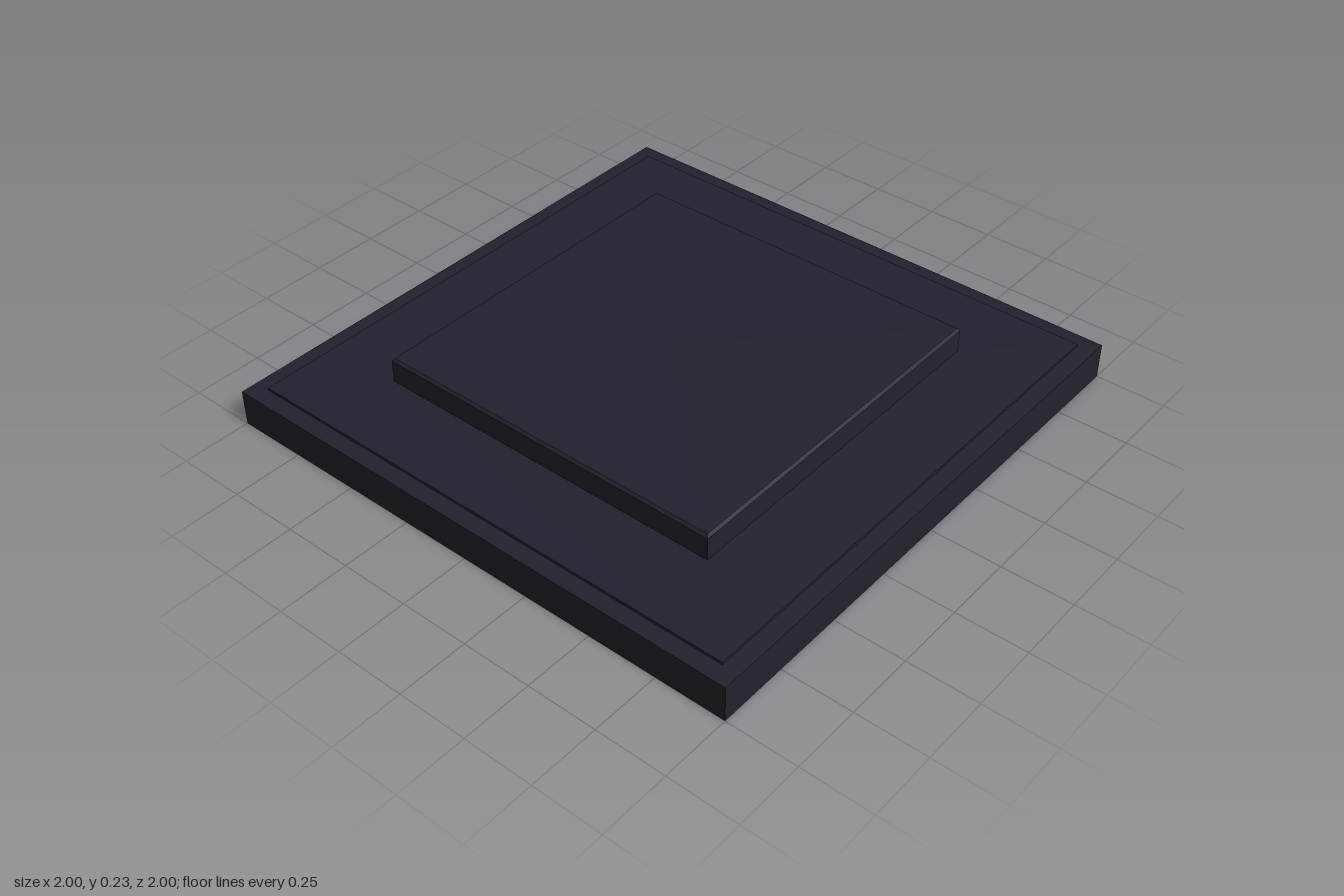
import * as THREE from 'three';

// Square ring or cap swept from a [halfWidth, y] profile running counter-clockwise (out, up, in)
function squareSweep(profile) {
  const pts = profile.map(([h, y]) => new THREE.Vector2(h * Math.SQRT2, y));
  const geo = new THREE.LatheGeometry(pts, 4, Math.PI / 4).toNonIndexed();
  geo.computeVertexNormals();
  return geo;
}

export function createModel() {
  const group = new THREE.Group();
  const charcoal = new THREE.MeshStandardMaterial({ color: 0x22222c });
  charcoal.name = 'charcoal';

  const add = (name, geometry) => {
    const mesh = new THREE.Mesh(geometry, charcoal);
    mesh.name = name;
    group.add(mesh);
  };

  // Outer frame, open in the middle
  add('rimFrame', squareSweep([[0.94, 0], [1, 0], [1, 0.13], [0.94, 0.13], [0.94, 0]]));

  // Thin deck standing slightly proud of the frame
  add('deck', squareSweep([[0.635, 0.115], [0.94, 0.115], [0.94, 0.14], [0.65, 0.14]]));

  // Hollow raised block with a small chamfer around its top
  add('raisedBlock', squareSweep([
    [0, 0.215], [0.635, 0.215], [0.635, 0.115], [0.655, 0.115],
    [0.655, 0.222], [0.647, 0.232], [0, 0.232],
  ]));

  // Small round socket under the block
  const socket = [[0.026, 0.215], [0.026, 0.195], [0.045, 0.195], [0.045, 0.215]];
  const socketGeo = new THREE.LatheGeometry(socket.map(([r, y]) => new THREE.Vector2(r, y)), 24).toNonIndexed();
  socketGeo.computeVertexNormals();
  add('socket', socketGeo);

  return group;
}
